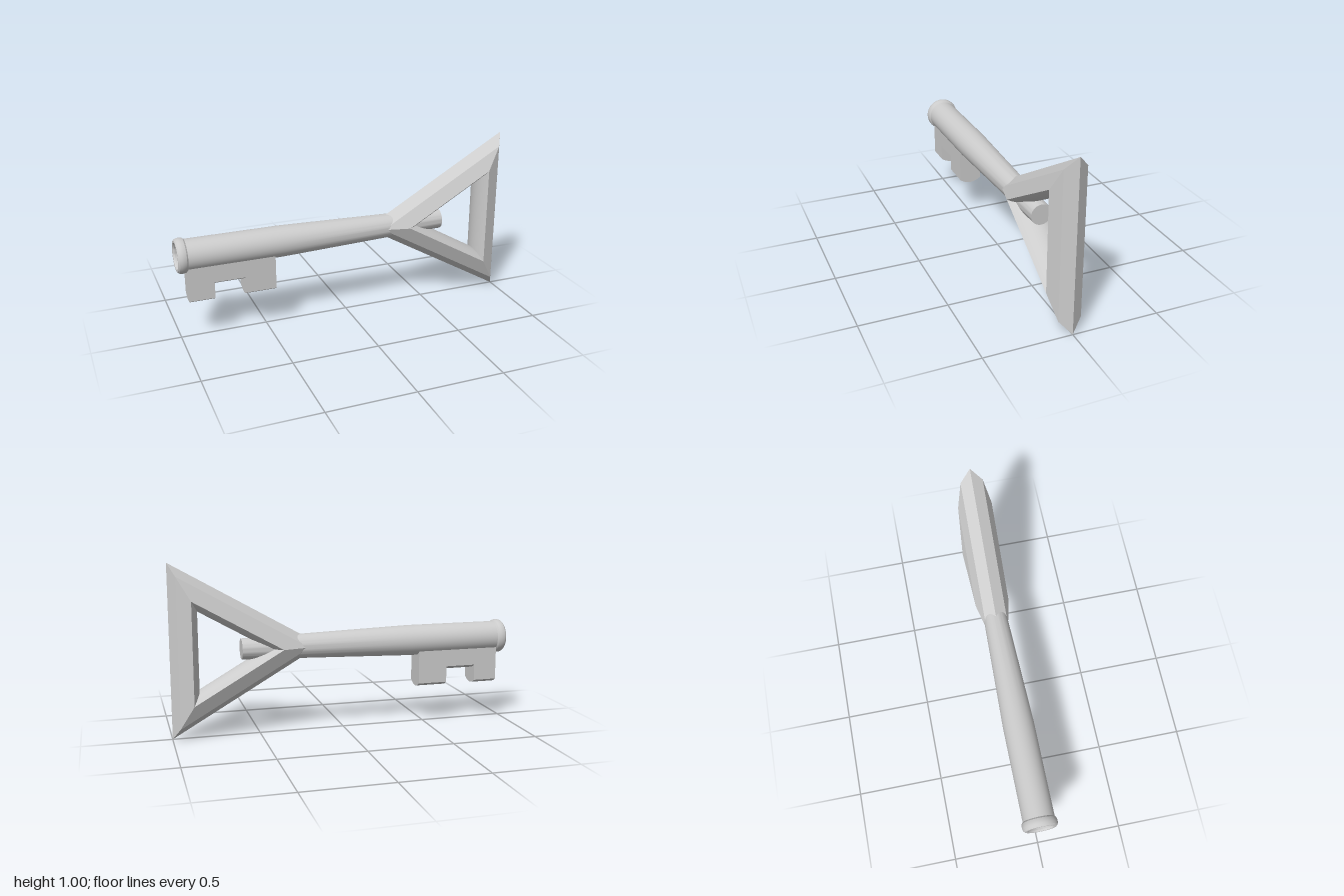
import * as THREE from 'three';
import { toCreasedNormals } from 'three/addons/utils/BufferGeometryUtils.js';

const AXIS_Y = 0.5; // height of the shaft axis

export function createModel() {
  const group = new THREE.Group();
  const material = new THREE.MeshStandardMaterial({ color: 0xcccccc });
  const add = (name, geometry, x = 0, y = AXIS_Y) => {
    const mesh = new THREE.Mesh(toCreasedNormals(geometry, 0.4), material);
    mesh.name = name;
    mesh.position.set(x, y, 0);
    group.add(mesh);
  };
  const lathe = (points, segments, phi = 0) =>
    new THREE.LatheGeometry(points.map(([r, h]) => new THREE.Vector2(r, h)), segments, phi);

  // Tapered shaft with a rounded collar and a hollow tip
  add('shaft', lathe([
    [0, -0.93], [0.07, -0.93], [0.07, -0.99], [0.076, -1], [0.088, -1],
    [0.096, -0.992], [0.1, -0.98], [0.1, -0.965], [0.097, -0.953], [0.09, -0.945],
    [0.09, -0.4], [0.06, 0.6], [0, 0.6],
  ], 48).rotateZ(-Math.PI / 2));

  // Triangular bow: a three-sided ring, faceted outside and rounded inside.
  // Section points are [distance from bow centre to the side, depth].
  const section = [[0.17, -0.1], [0.248, -0.065], [0.2887, 0], [0.248, 0.065], [0.17, 0.1]];
  const arcRadius = 0.145, halfAngle = Math.asin(0.1 / arcRadius);
  for (let i = 1; i <= 10; i++) {
    const a = halfAngle * (1 - i / 5);
    section.push([0.13 + arcRadius * (1 - Math.cos(a)), arcRadius * Math.sin(a)]);
  }
  const bow = lathe(section.map(([d, z]) => [2 * d, z]), 3, -Math.PI / 2);
  add('bow', bow.rotateX(Math.PI / 2), 0.711);

  // Key bit: slabs with a curved lower edge
  const slab = (name, x0, x1, bottom) => {
    const w = 0.067, sag = 0.025;
    const shape = new THREE.Shape();
    shape.moveTo(w, AXIS_Y);
    shape.lineTo(-w, AXIS_Y);
    shape.lineTo(-w, bottom + sag);
    shape.quadraticCurveTo(0, bottom - sag, w, bottom + sag);
    shape.closePath();
    const geometry = new THREE.ExtrudeGeometry(shape, { depth: x1 - x0, bevelEnabled: false, curveSegments: 12 });
    add(name, geometry.rotateY(Math.PI / 2), x0, 0);
  };
  slab('outerTooth', -0.945, -0.805, 0.22);
  slab('bitBridge', -0.805, -0.625, 0.315);
  slab('innerTooth', -0.625, -0.45, 0.22);

  return group;
}
